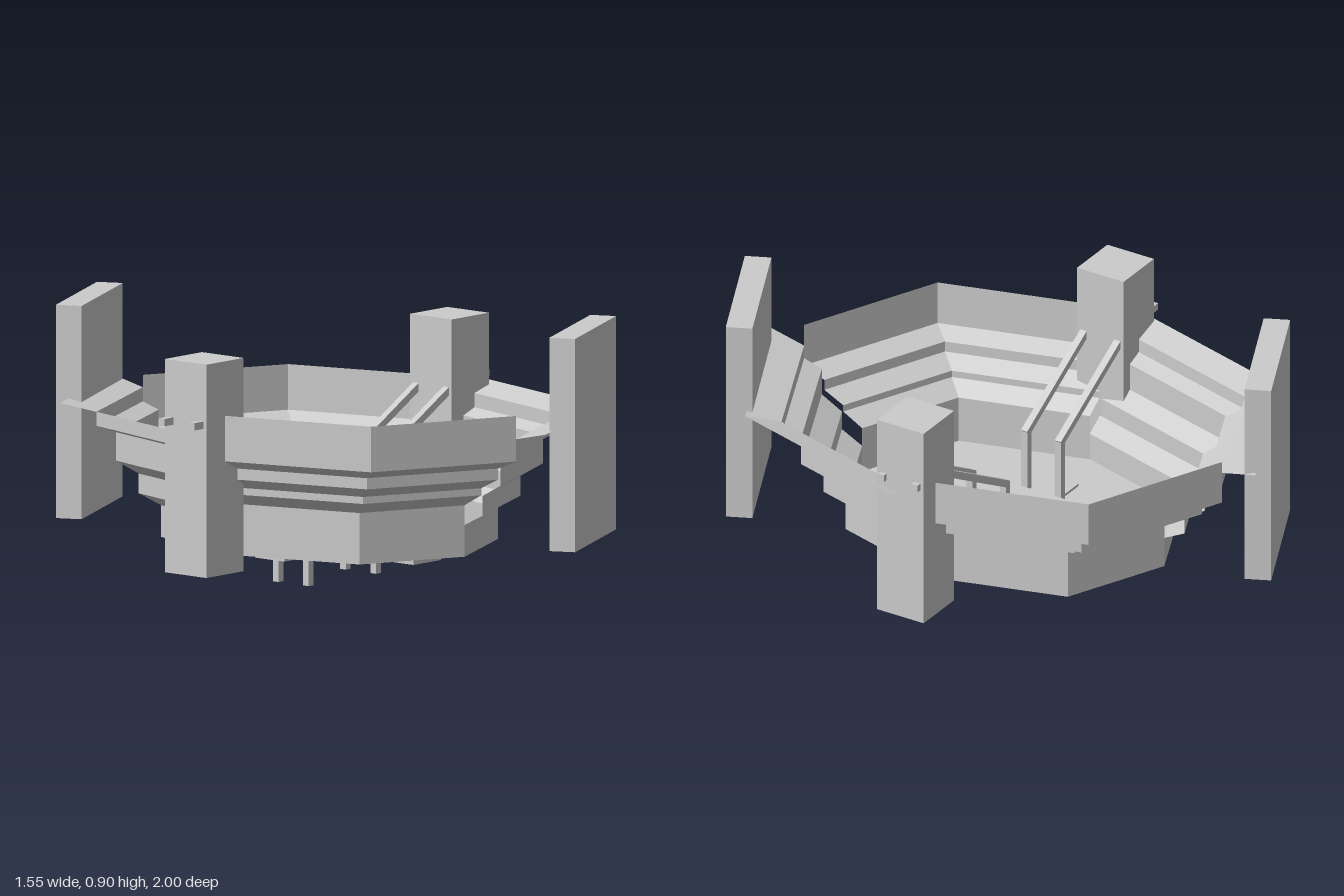
import * as THREE from 'three';

const grey = new THREE.MeshStandardMaterial({ color: 0xcccccc, flatShading: true, side: THREE.DoubleSide });

// Corners of the octagonal plan for one quadrant, per unit of radius
const plan = [[0, 1], [0.59, 0.735], [0.8, 0]];

function addMesh(parent, geometry, name, x = 0, y = 0, z = 0) {
  const mesh = new THREE.Mesh(geometry, grey);
  mesh.name = name;
  mesh.position.set(x, y, z);
  parent.add(mesh);
  return mesh;
}

const box = (parent, name, w, h, d, x, y, z) =>
  addMesh(parent, new THREE.BoxGeometry(w, h, d), name, x, y, z);

// Flat prism from a plan outline of [x, z] points
function slab(parent, name, points, y0, y1) {
  const shape = new THREE.Shape(points.map(([x, z]) => new THREE.Vector2(x, -z)));
  const geo = new THREE.ExtrudeGeometry(shape, { depth: y1 - y0, bevelEnabled: false });
  geo.rotateX(-Math.PI / 2);
  return addMesh(parent, geo, name, 0, y0, 0);
}

// One quadrant of stepped terrace, swept from a [radius, height] profile
function terrace(parent, name, profile, sx, sz) {
  const pos = [];
  const at = ([px, pz], [r, y]) => [px * r * sx, y, pz * r * sz];
  for (let i = 0; i < plan.length - 1; i++) {
    for (let j = 0; j < profile.length - 1; j++) {
      const a = at(plan[i], profile[j]);
      const b = at(plan[i + 1], profile[j]);
      const c = at(plan[i + 1], profile[j + 1]);
      const d = at(plan[i], profile[j + 1]);
      const quad = sx * sz > 0 ? [a, b, c, a, c, d] : [a, c, b, a, d, c];
      quad.forEach((p) => pos.push(...p));
    }
  }
  const geo = new THREE.BufferGeometry();
  geo.setAttribute('position', new THREE.Float32BufferAttribute(pos, 3));
  geo.computeVertexNormals();
  return addMesh(parent, geo, name);
}

// Square bar between two points in a plane of constant z
function bar(parent, name, x0, y0, x1, y1, z, size) {
  const length = Math.hypot(x1 - x0, y1 - y0);
  const mesh = box(parent, name, length, size, size, (x0 + x1) / 2, (y0 + y1) / 2, z);
  mesh.rotation.z = Math.atan2(y1 - y0, x1 - x0);
  return mesh;
}

export function createModel() {
  const group = new THREE.Group();
  group.name = 'arena';

  // Stepped terraces: flared on two opposite quadrants, walled on the others
  const flared = [[0.6, 0.14], [0.6, 0.24], [0.68, 0.28], [0.68, 0.347], [0.76, 0.39],
    [0.76, 0.487], [0.83, 0.508], [0.83, 0.556], [0.96, 0.585]];
  const walledFront = [[0.6, 0.14], [0.6, 0.307], [0.675, 0.349], [0.675, 0.373],
    [0.75, 0.41], [0.75, 0.448], [0.83, 0.48], [0.83, 0.635]];
  const walledBack = [[0.6, 0.14], [0.6, 0.31], [0.675, 0.335], [0.675, 0.345],
    [0.75, 0.375], [0.75, 0.41], [0.83, 0.443], [0.83, 0.598]];
  terrace(group, 'frontLeftTerrace', flared, 1, 1);
  terrace(group, 'backRightTerrace', flared, -1, -1);
  terrace(group, 'frontRightTerrace', walledFront, -1, 1);
  terrace(group, 'backLeftTerrace', walledBack, 1, -1);

  // Octagonal floor
  const octagon = [[0, 1], [0.59, 0.735], [0.8, 0], [0.59, -0.735], [0, -1],
    [-0.59, -0.735], [-0.8, 0], [-0.59, 0.735]].map(([x, z]) => [x * 0.6, z * 0.6]);
  slab(group, 'floor', octagon, 0.132, 0.142);

  // Central six-sided stage with a plate at each end
  slab(group, 'stage', [[0, 0.42], [0.165, 0.21], [0.165, -0.21], [0, -0.42],
    [-0.165, -0.21], [-0.165, 0.21]], 0.113, 0.165);
  for (const s of [-1, 1]) {
    box(group, 'endPlate', 0.14, 0.056, 0.14, 0, 0.123, s * 0.365);
    box(group, 'sidePlate', 0.135, 0.056, 0.13, s * 0.23 - 0.004, 0.123, -0.003);
  }

  // Towers, with paired rails rising to them from posts at the stage
  for (const s of [-1, 1]) {
    const side = new THREE.Group();
    side.name = s > 0 ? 'leftTowerAndRails' : 'rightTowerAndRails';
    side.position.set(-0.01, 0, -0.003);
    group.add(side);
    box(side, 'tower', 0.19, 0.725, 0.185, s * 0.627, 0.4575, 0);
    for (const z of [-0.067, 0.067]) {
      box(side, 'post', 0.025, 0.37, 0.025, s * 0.172, 0.185, z);
      bar(side, 'rail', s * 0.165, 0.365, s * 0.6, 0.613, z, 0.025);
      bar(side, 'railEnd', s * 0.6, 0.613, s * (s > 0 ? 0.74 : 0.768), 0.613, z, 0.025);
    }
  }

  // Tall slanted screens outside the flared terraces
  for (const [name, x, z] of [['frontScreen', 0.317, 0.85], ['backScreen', -0.247, -0.853]]) {
    box(group, name, 0.5, 0.725, 0.09, x, 0.5385, z).rotation.y = THREE.MathUtils.degToRad(25);
  }

  return group;
}
